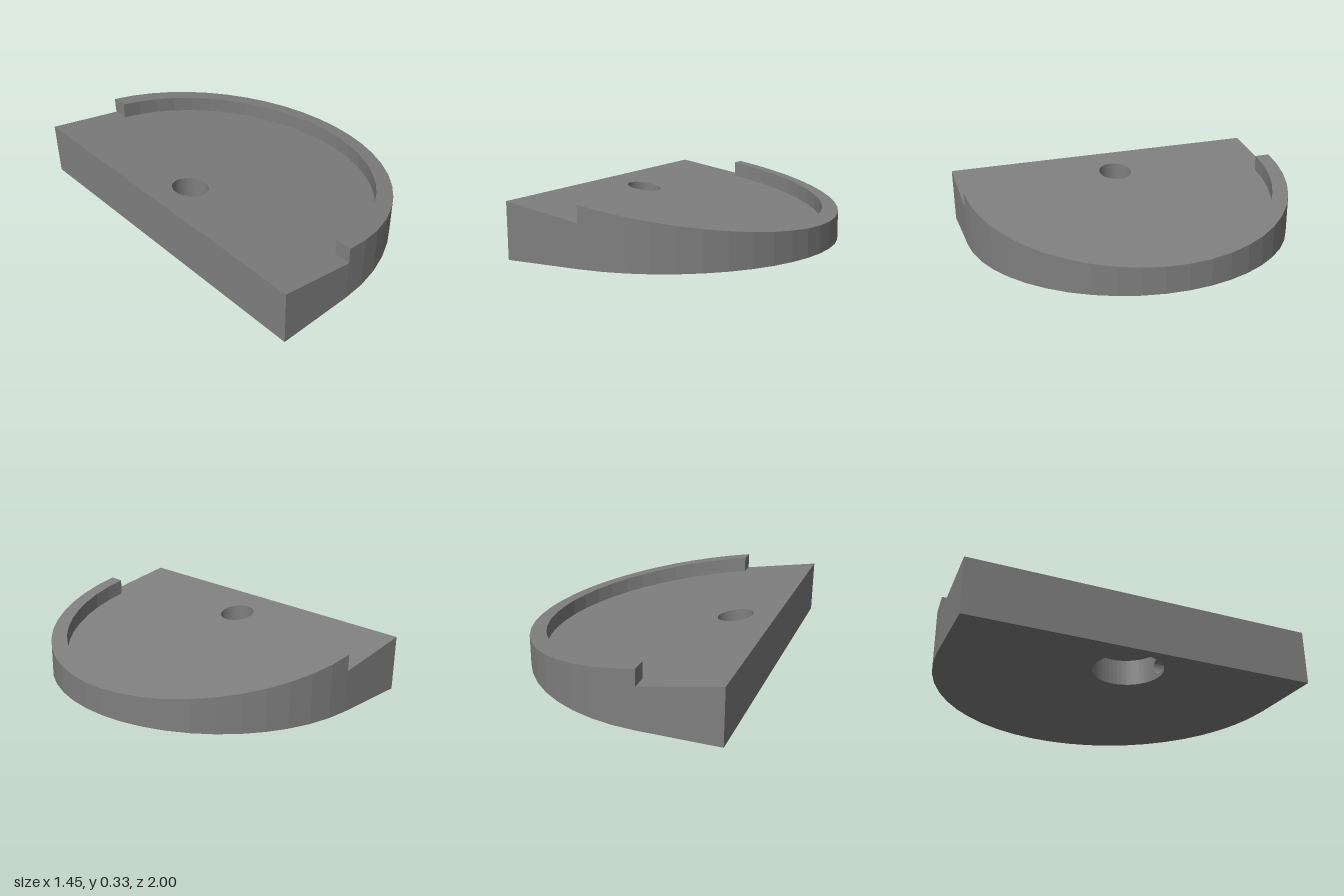
import * as THREE from 'three';

const BACK = -0.725, ARC_X = -0.275;       // flat edge, centre of the half-round
const R_OUT = 1, R_IN = 0.905;             // rim radii
const HOLE_X = -0.478, R_HOLE = 0.102, R_BORE = 0.195, BORE_H = 0.15, R_SIDE = 0.055, SIDE_END = 0.45;
const SLOPE = Math.tan(Math.PI / 18);

const floorY = x => 0.318 - SLOPE * (x - BACK);
const rimY = x => 0.333 - SLOPE * (x - ARC_X);
const level = y => () => y;

const material = new THREE.MeshStandardMaterial({ color: 0x7f7f7f, flatShading: true });

// Points [x, z] along an arc, angles in degrees
function arc(cx, r, from, to, n) {
  return Array.from({ length: n + 1 }, (_, i) => {
    const t = THREE.MathUtils.degToRad(from + (to - from) * i / n);
    return [cx + r * Math.cos(t), r * Math.sin(t)];
  });
}

// Surface through rows of 3D points
function grid(rows) {
  const n = rows[0].length, index = [];
  for (let k = 0; k < rows.length - 1; k++) {
    for (let i = 0; i < n - 1; i++) {
      const a = k * n + i, b = a + 1, c = a + n, d = c + 1;
      index.push(a, b, d, a, d, c);
    }
  }
  const g = new THREE.BufferGeometry();
  g.setAttribute('position', new THREE.Float32BufferAttribute(rows.flat(2), 3));
  g.setIndex(index);
  g.computeVertexNormals();
  return g;
}

// Upright wall along a path, between two height rules
const wall = (path, low, high) => grid([low, high].map(f => path.map(([x, z]) => [x, f(x), z])));

// Flat or tilted sheet with an optional hole
function sheet(outline, hole, height, faceDown = false) {
  const pts = list => list.map(([x, z]) => new THREE.Vector2(x, -z));
  const shape = new THREE.Shape(pts(outline));
  if (hole) shape.holes.push(new THREE.Path(pts(hole)));
  const g = new THREE.ShapeGeometry(shape).rotateX(-Math.PI / 2);
  const p = g.attributes.position;
  for (let i = 0; i < p.count; i++) p.setY(i, height(p.getX(i)));
  if (faceDown) g.index.array.reverse();
  g.computeVertexNormals();
  return g;
}

// Blind side bore plus the piece of curved counterbore wall around its mouth
function sideBore() {
  const N = 32, H = BORE_H / 2, W = R_BORE / 2;
  const onWall = u => Math.sqrt(R_BORE * R_BORE - u * u);
  const ring = f => Array.from({ length: N + 1 }, (_, i) => {
    const a = i / N * Math.PI * 2;
    const [u, v, z] = f(Math.cos(a), Math.sin(a));
    return [u, H + v, z ?? onWall(u)];
  });
  const box = c => THREE.MathUtils.clamp(c * Math.SQRT2, -1, 1);
  const rows = [
    ring(() => [0, 0, SIDE_END]),
    ring((c, s) => [R_SIDE * c, R_SIDE * s, SIDE_END]),
  ];
  for (let k = 0; k <= 4; k++) {
    const t = k / 4;
    rows.push(ring((c, s) => [
      THREE.MathUtils.lerp(R_SIDE * c, W * box(c), t),
      THREE.MathUtils.lerp(R_SIDE * s, H * box(s), t),
    ]));
  }
  return grid(rows);
}

export function createModel() {
  const model = new THREE.Group();
  model.name = 'slopedHalfRoundBase';
  const add = (name, geometry) => {
    const mesh = new THREE.Mesh(geometry, material);
    mesh.name = name;
    model.add(mesh);
    return mesh;
  };

  const outerArc = arc(ARC_X, R_OUT, 90, -90, 24);
  const innerArc = arc(ARC_X, R_IN, 90, -90, 24);
  const backPath = [[ARC_X, -1], [BACK, -1], [BACK, 1], [ARC_X, 1]];
  const circle = r => arc(HOLE_X, r, 0, 360, 48);
  const loop = r => circle(r).slice(0, -1);

  // Body
  add('underside', sheet([...outerArc, [BACK, -1], [BACK, 1]], loop(R_BORE), level(0), true));
  add('slopedFloor', sheet([...innerArc, ...backPath], loop(R_HOLE), floorY));
  add('backWalls', wall(backPath, level(0), floorY));
  add('roundWall', wall(outerArc, level(0), rimY));

  // Raised rim
  add('rimTop', sheet([...outerArc, ...[...innerArc].reverse()], null, rimY));
  add('rimInnerWall', wall([...innerArc].reverse(), floorY, rimY));
  add('rimEndLeft', wall([[ARC_X, R_IN], [ARC_X, R_OUT]], floorY, rimY));
  add('rimEndRight', wall([[ARC_X, -R_OUT], [ARC_X, -R_IN]], floorY, rimY));

  // Through hole and the wider counterbore under it
  add('holeWall', wall(circle(R_HOLE), level(BORE_H), floorY));
  add('counterboreCeiling', sheet(loop(R_BORE), loop(R_HOLE), level(BORE_H), true));
  for (const side of [0, 180]) {
    add('counterboreWall', wall(arc(HOLE_X, R_BORE, side - 60, side + 60, 16), level(0), level(BORE_H)));
    const bore = add('sideBore', sideBore());
    bore.position.x = HOLE_X;
    bore.rotation.y = THREE.MathUtils.degToRad(side);
  }
  return model;
}
